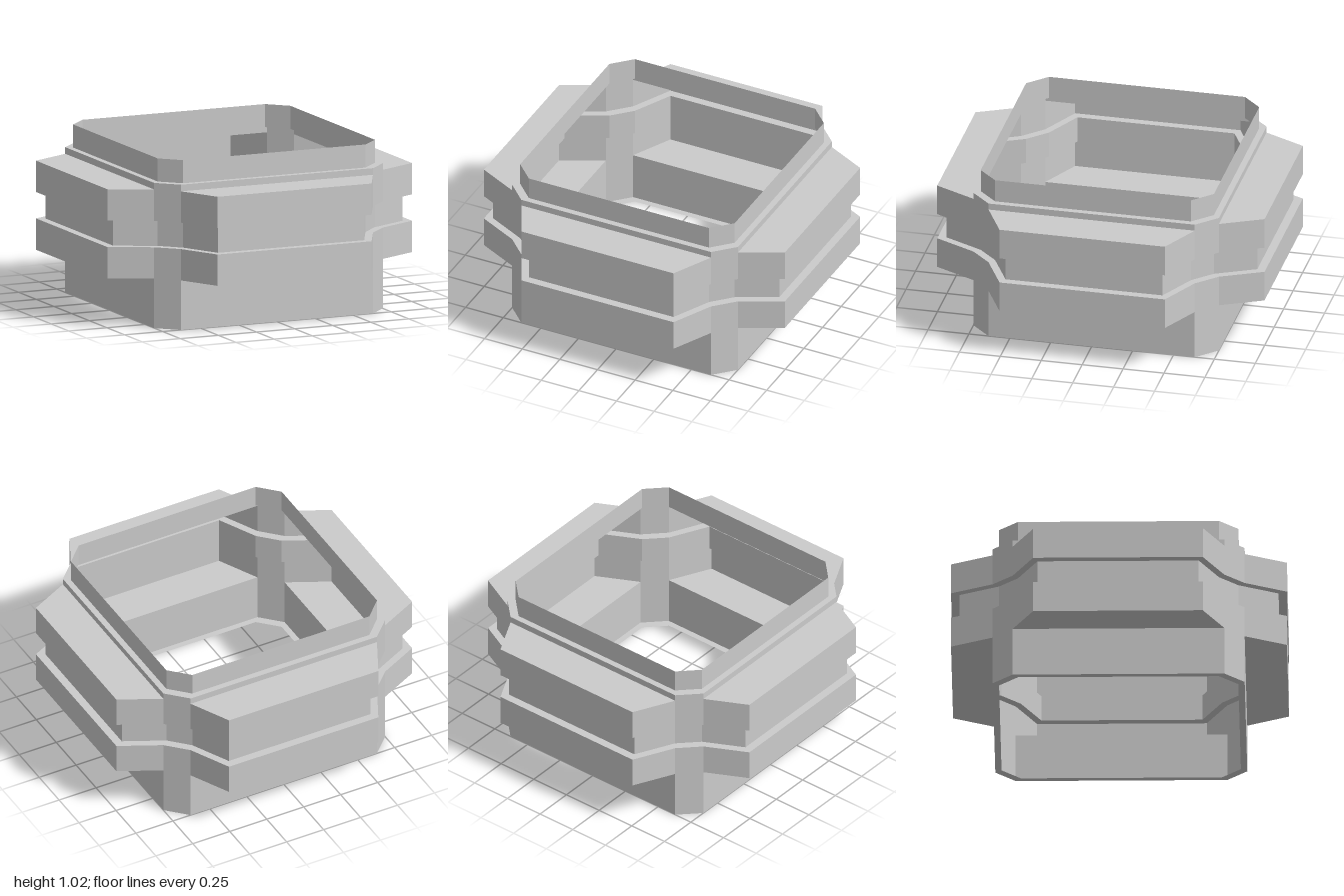
import * as THREE from 'three';

// Outline with a chamfered-square core; each side reaches out to `reach` as a tapering arm.
// reach 0.75 leaves the plain octagon.
function outline(scale, reach) {
  const side = [[-0.63, 0.75], [-0.505, reach], [0.505, reach], [0.63, 0.75]];
  const points = [];
  for (let k = 0; k < 4; k++) {
    const c = Math.round(Math.cos(k * Math.PI / 2));
    const s = Math.round(Math.sin(k * Math.PI / 2));
    for (const [x, z] of side) {
      points.push([(x * c + z * s) * scale, (z * c - x * s) * scale]);
    }
  }
  return points;
}

// Thin sheet joining two outlines, each given as [height, scale, reach]
function band(name, lower, upper, material) {
  const [lo, hi] = [lower, upper].map(([y, scale, reach]) =>
    outline(scale, reach).map(([x, z]) => [x, y, z]));
  const positions = [];
  for (let i = 0; i < lo.length; i++) {
    const j = (i + 1) % lo.length;
    positions.push(...lo[i], ...lo[j], ...hi[j], ...lo[i], ...hi[j], ...hi[i]);
  }
  const geometry = new THREE.BufferGeometry();
  geometry.setAttribute('position', new THREE.Float32BufferAttribute(positions, 3));
  geometry.computeVertexNormals();
  const mesh = new THREE.Mesh(geometry, material);
  mesh.name = name;
  return mesh;
}

export function createModel() {
  const group = new THREE.Group();
  group.name = 'hollowFrame';
  const material = new THREE.MeshStandardMaterial({
    color: 0xcccccc, flatShading: true, side: THREE.DoubleSide,
  });

  const core = 0.75, arm = 1, inset = 0.95;

  // Shell profile from the bottom lip to the top rim; each name labels the band ending there
  const profile = [
    [null, 0, inset, core],
    ['bottomLip', 0, 1, core],
    ['baseWall', 0.3, 1, core],
    ['lowerArmUnderside', 0.3, 1, arm],
    ['lowerArmWall', 0.49, 1, arm],
    ['grooveFloor', 0.49, inset, arm],
    ['grooveWall', 0.65, inset, arm],
    ['grooveCeiling', 0.65, 1, arm],
    ['upperArmWall', 0.84, 1, arm],
    ['upperArmTop', 0.84, 1, core],
    ['collarWall', 0.88, 1, core],
    ['collarLedge', 0.88, inset, core],
    ['topRim', 1.02, inset, core],
  ];
  for (let i = 1; i < profile.length; i++) {
    const [name, ...upper] = profile[i];
    group.add(band(name, profile[i - 1].slice(1), upper, material));
  }
  return group;
}
